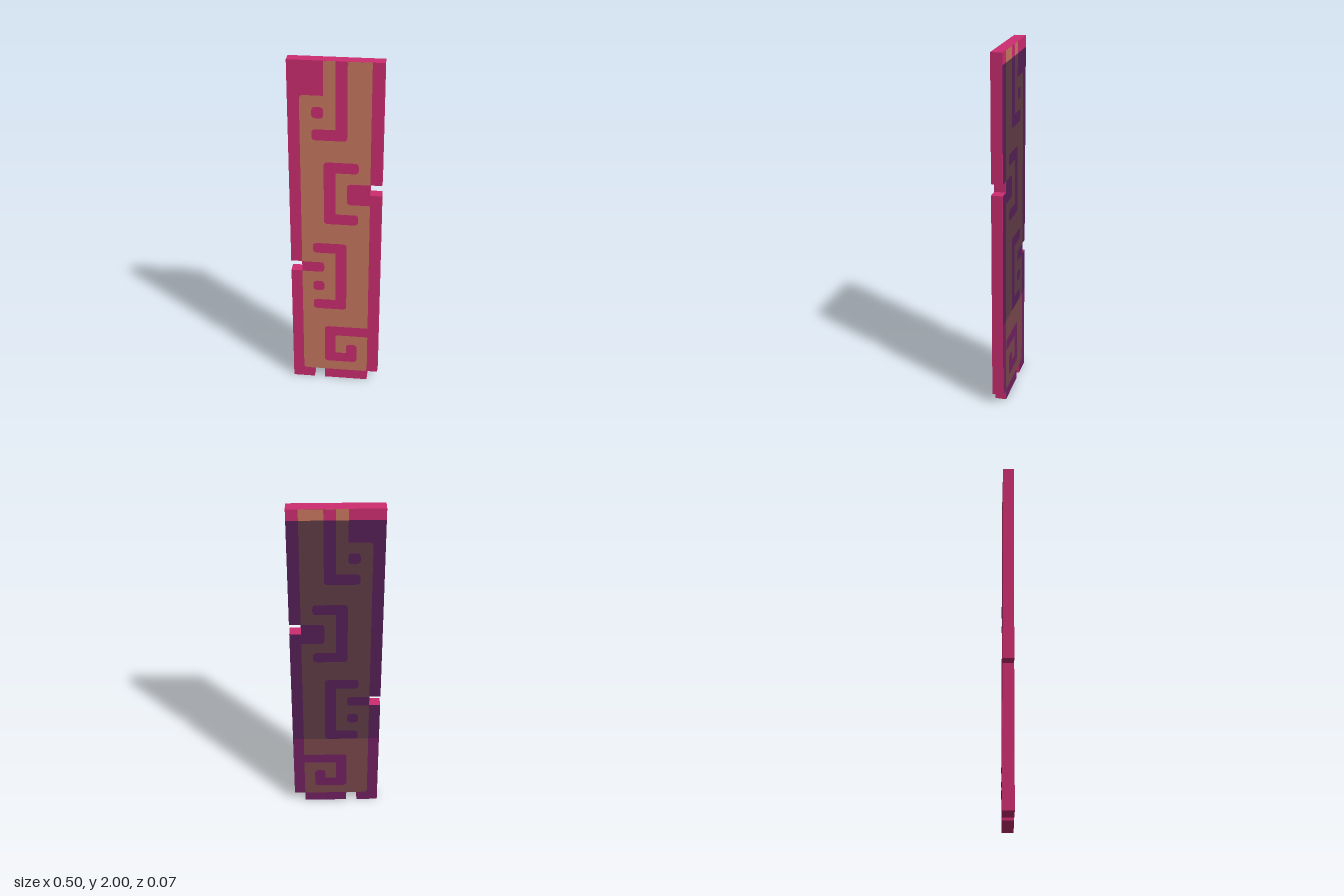
import * as THREE from 'three';
import { mergeGeometries } from 'three/addons/utils/BufferGeometryUtils.js';

const U = 0.0625;          // grid unit
const HALF = U / 2;        // half the thickness
const R = 0.022;           // corner rounding

const paint = (name, color) => {
  const m = new THREE.MeshStandardMaterial({ color });
  m.name = name;
  return m;
};

// Rectangles in grid units: x0, y0, x1, y1, rounded corners (a bottom left, b bottom right, c top right, d top left)
const FRAME = [
  [-3, 0, 3, 32, ''],
  [-4, 0, -3, 12, ''], [-4, 13, -3, 32, ''],
  [3, 1, 4, 20, ''], [3, 21, 4, 32, ''],
];
const PANEL = [[-3, 1, 3, 29, 'abd'], [-1, 29, 3, 32, '']];
const STROKES = [
  // upper hook and dot
  [0, 25, 1, 32, 'b'], [-2, 25, 1, 26, 'abd'], [-2, 27, -1, 28, 'abcd'],
  // right-facing bracket with its block
  [-1, 17, 0, 23, 'ad'], [-1, 22, 2, 23, 'bcd'], [-1, 17, 2, 18, 'abc'],
  [1, 19, 3, 21, 'ad'],
  // left-facing bracket with its stub and dot
  [0, 8, 1, 15, 'bc'], [-2, 14, 1, 15, 'acd'], [-2, 8, 1, 9, 'abd'],
  [-3, 12, -1, 13, 'bc'], [-2, 10, -1, 11, 'abcd'],
  // spiral
  [-1, 5, 3, 6, 'd'], [-1, 2, 0, 6, 'ad'], [-1, 2, 2, 3, 'ab'], [1, 2, 2, 4, 'bcd'],
];

// Rectangle shape with chosen corners rounded
function rectShape(x0, y0, x1, y1, corners, mirror) {
  const s = new THREE.Shape();
  const pts = [['a', x0, y0, 1, 1], ['b', x1, y0, -1, 1], ['c', x1, y1, -1, -1], ['d', x0, y1, 1, -1]];
  pts.forEach(([key, x, y, dx, dy], i) => {
    const r = corners.includes(key) ? R : 0;
    const px = x * U, py = y * U;
    const onX = [mirror * (px + dx * r), py], onY = [mirror * px, py + dy * r];
    const [start, end] = i % 2 ? [onX, onY] : [onY, onX];
    if (i === 0) s.moveTo(...start); else s.lineTo(...start);
    if (r) s.quadraticCurveTo(mirror * px, py, ...end);
  });
  s.closePath();
  return s;
}

// Flat inlay made of rectangles cut to the band lo..hi
function inlay(name, rects, material, z, mirror = 1, lo = 0, hi = 32) {
  const parts = [];
  for (const [x0, y0, x1, y1, corners] of rects) {
    const b = Math.max(y0, lo), t = Math.min(y1, hi);
    if (t <= b) continue;
    let keep = corners;
    if (b > y0) keep = keep.replace(/[ab]/g, '');
    if (t < y1) keep = keep.replace(/[cd]/g, '');
    parts.push(new THREE.ShapeGeometry(rectShape(x0, b, x1, t, keep, mirror), 4));
  }
  const mesh = new THREE.Mesh(mergeGeometries(parts), material);
  mesh.name = name;
  mesh.position.z = HALF + z;
  return mesh;
}

export function createModel() {
  const model = new THREE.Group();
  model.name = 'patternedSlab';
  const pink = paint('pink', 0xcd2d70);
  const orange = paint('orange', 0xc9785f);
  const darkPurple = paint('dark purple', 0x541f56);
  const darkBrown = paint('dark brown', 0x5f3b44);
  const plum = paint('plum', 0x702161);
  const brown = paint('brown', 0x78474a);

  // Slab outline with its square notches
  const outline = [
    [-4, 0], [-2, 0], [-2, 1], [-1, 1], [-1, 0], [3, 0], [3, 1], [4, 1],
    [4, 20], [3, 20], [3, 21], [4, 21], [4, 32], [-4, 32],
    [-4, 13], [-3, 13], [-3, 12], [-4, 12],
  ].map(([x, y]) => new THREE.Vector2(x * U, y * U));
  const slabGeometry = new THREE.ExtrudeGeometry(new THREE.Shape(outline), { depth: U, bevelEnabled: false });
  slabGeometry.translate(0, 0, -HALF);
  const slab = new THREE.Mesh(slabGeometry, pink);
  slab.name = 'slab';
  model.add(slab);

  // Front pattern
  model.add(inlay('frontPanel', PANEL, orange, 0.001));
  model.add(inlay('frontStrokes', STROKES, pink, 0.002));

  // Back pattern in three bands of colour, split around the bottom notch
  const backFrame = [
    [-3, 0, -2, 1, ''], [-1, 0, 3, 1, ''], [-3, 1, 3, 32, ''], ...FRAME.slice(1),
  ];
  const back = new THREE.Group();
  back.name = 'back';
  back.rotation.y = Math.PI;
  const bands = [
    ['lower', 0, 8, plum, brown],
    ['middle', 8, 31, darkPurple, darkBrown],
    ['top', 31, 32, pink, orange],
  ];
  for (const [name, lo, hi, ground, fill] of bands) {
    back.add(inlay(name + 'BackGround', backFrame, ground, 0.001, -1, lo, hi));
    back.add(inlay(name + 'BackPanel', PANEL, fill, 0.002, -1, lo, hi));
    back.add(inlay(name + 'BackStrokes', STROKES, ground, 0.003, -1, lo, hi));
  }
  model.add(back);
  return model;
}
